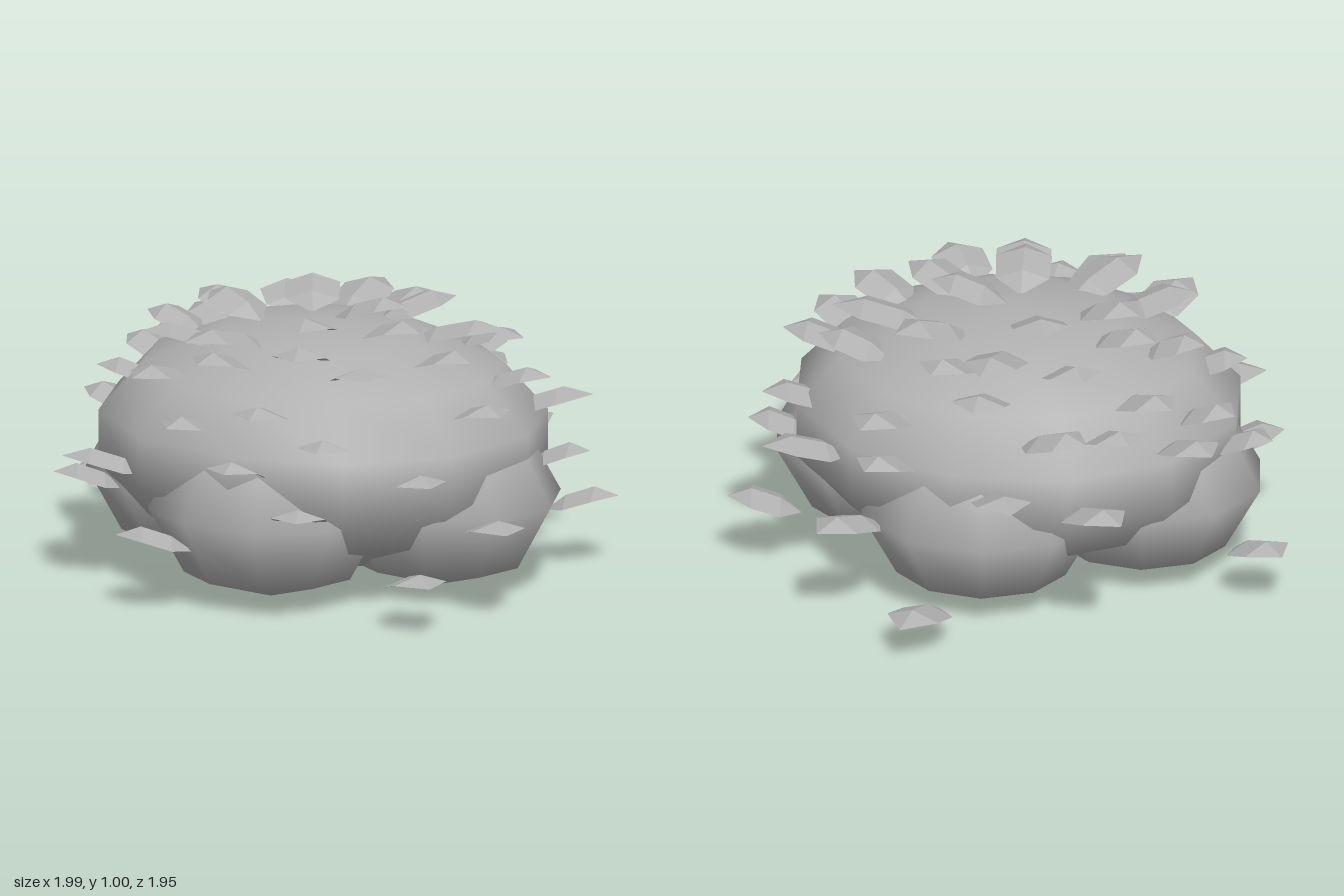
import * as THREE from 'three';

const CX = 0.06, CZ = 0.1; // middle of the bush
const RX = 0.82, RZ = 0.745; // dome radii

// Folded, arching leaf along +z, about one unit long, with a low base and drooping tip
function makeLeafGeometry() {
  // [position along the leaf, half width, midrib height]
  const stations = [[-0.6, 0.03, -0.24], [-0.3, 0.4, 0], [0.14, 0.41, 0.16], [0.5, 0.01, 0.03]];
  const pos = [], index = [];
  for (const [z, w, h] of stations) pos.push(-w, h - w * 0.36, z, 0, h, z, w, h - w * 0.36, z);
  for (let i = 0; i < stations.length - 1; i++) {
    for (let j = 0; j < 2; j++) {
      const a = i * 3 + j;
      index.push(a, a + 3, a + 1, a + 1, a + 3, a + 4);
    }
  }
  const geo = new THREE.BufferGeometry();
  geo.setAttribute('position', new THREE.Float32BufferAttribute(pos, 3));
  geo.setIndex(index);
  const flat = geo.toNonIndexed(); // crisp fold along the midrib
  flat.computeVertexNormals();
  return flat;
}

// Leaves over the crown: x, z, length, heading in degrees (outward when left out)
const crown = [
  [0.35, -0.53, 0.25, 165], [-0.29, -0.5, 0.24, -101], [0, -0.48, 0.22], [0, -0.33, 0.3, 180],
  [0.16, -0.37, 0.22], [-0.53, -0.22, 0.24], [-0.27, -0.28, 0.2, -139], [0.29, -0.2, 0.26, 139],
  [-0.09, -0.11, 0.24, -153], [0.57, -0.2, 0.24, 90], [0.53, -0.05, 0.32, 101], [0.76, -0.02, 0.24],
  [0.25, 0.08, 0.24], [-0.38, 0, 0.23, -107], [-0.28, 0.12, 0.23, -109], [-0.52, 0.11, 0.2],
  [0.4, 0.21, 0.24, 73], [0.61, 0.22, 0.24, 68], [-0.36, 0.39, 0.25], [-0.14, 0.48, 0.32, -27],
  [-0.32, 0.61, 0.27, -17], [-0.09, 0.6, 0.22], [0.13, 0.36, 0.25], [0.19, 0.53, 0.22],
  [0.42, 0.52, 0.23],
];
// Leaves around the sides: x, y, z, length, heading in degrees (outward when left out)
const sides = [
  [0.11, 0.13, -0.83, 0.3, 175], [-0.15, 0.54, -0.68, 0.26, -148], [0.42, 0.38, -0.71, 0.28, 156],
  [-0.47, 0.5, -0.6, 0.27, -122], [0.65, 0.55, -0.5, 0.28, 120], [0.85, 0.25, -0.36, 0.23, 108],
  [-0.71, 0.66, -0.29, 0.24, -124], [-0.89, 0.2, -0.07, 0.24, -123], [0.76, 0.62, -0.24, 0.24],
  [0.86, 0.46, -0.16, 0.2], [-0.7, 0.69, -0.06, 0.2], [-0.78, 0.53, 0.09, 0.2],
  [0.78, 0.7, 0.29, 0.23, 60], [0.9, 0.33, 0.42, 0.27, 43], [-0.59, 0.7, 0.32, 0.22],
  [-0.67, 0.35, 0.49, 0.22, -60], [-0.51, 0.47, 0.68, 0.27, -66], [0.67, 0.5, 0.57, 0.22],
  [0.73, 0.18, 0.69, 0.26, 47], [0.14, 0.72, 0.73, 0.23], [-0.14, 0.65, 0.74, 0.22],
  [-0.22, 0.27, 0.87, 0.24, -61], [0.11, 0.55, 0.87, 0.19], [0.39, 0.63, 0.73, 0.22, 12],
  [0.36, 0.41, 0.87, 0.22, 22], [-0.48, 0.72, -0.42, 0.2], [0.3, 0.6, -0.64, 0.22],
];

export function createModel() {
  const bush = new THREE.Group();
  bush.name = 'bush';
  const foliage = new THREE.MeshStandardMaterial({ color: 0xb0b0b0, side: THREE.DoubleSide });
  foliage.name = 'foliage grey';

  // Main dome
  const dome = new THREE.Mesh(new THREE.SphereGeometry(1, 12, 7), foliage);
  dome.name = 'mainDome';
  dome.scale.set(RX, 0.43, RZ);
  dome.position.set(CX, 0.48, CZ);
  bush.add(dome);

  // Four rounded clumps at the base
  const clumpGeo = new THREE.SphereGeometry(1, 10, 4);
  const clumps = { left: [0.45, 0], right: [-0.45, 0], front: [0, 0.4], back: [0, -0.4] };
  for (const [side, [dx, dz]] of Object.entries(clumps)) {
    const clump = new THREE.Mesh(clumpGeo, foliage);
    clump.name = side + 'Clump';
    clump.scale.set(0.44, 0.33, 0.41);
    clump.position.set(CX + dx, 0.33, CZ + dz);
    bush.add(clump);
  }

  // Leaves pointing outward
  const leaves = new THREE.Group();
  leaves.name = 'leaves';
  const leafGeo = makeLeafGeometry();
  const addLeaf = (x, y, z, length, heading) => {
    const leaf = new THREE.Mesh(leafGeo, foliage);
    leaf.name = 'leaf';
    leaf.position.set(x, y, z);
    leaf.rotation.y = heading === undefined ? Math.atan2(x - CX, z - CZ) : THREE.MathUtils.degToRad(heading);
    leaf.scale.set(0.235, 0.22, length);
    leaves.add(leaf);
  };
  for (const [x, z, length, heading] of crown) {
    const u = (x - CX) / RX, v = (z - CZ) / RZ;
    addLeaf(x, 0.53 + 0.45 * Math.sqrt(Math.max(0, 1 - u * u - v * v)), z, length, heading);
  }
  for (const s of sides) addLeaf(...s);
  bush.add(leaves);
  return bush;
}
